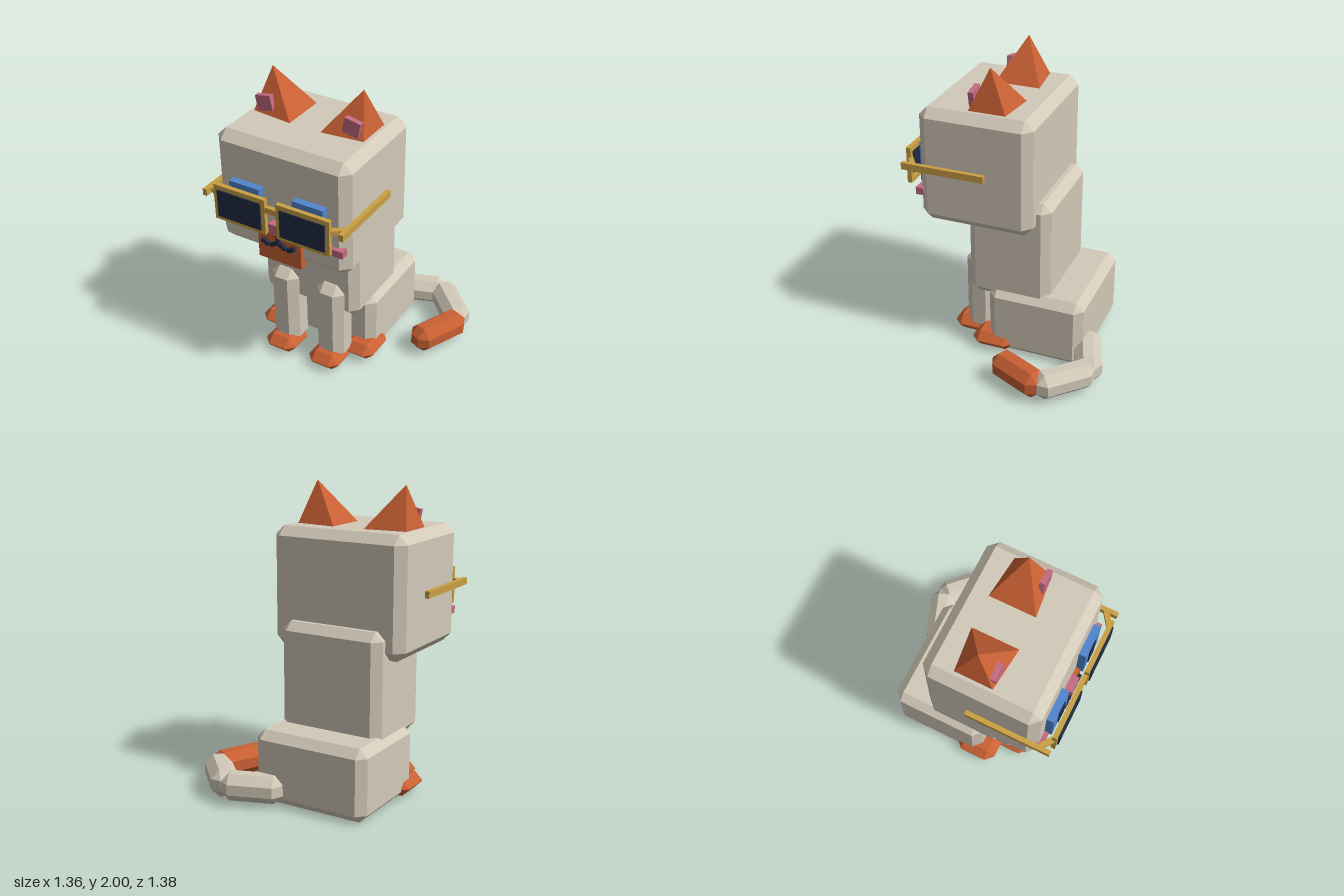
import * as THREE from 'three';
import { ConvexGeometry } from 'three/addons/geometries/ConvexGeometry.js';

const mat = (name, color) => new THREE.MeshStandardMaterial({ name, color, flatShading: true });
const CX = -0.185; // the body's own mirror plane

export function createModel() {
  const cream = mat('cream fur', 0xd2c9b8);
  const orange = mat('orange fur', 0xc96033);
  const pink = mat('pink skin', 0xc46c80);
  const blue = mat('blue eye', 0x5085cb);
  const navy = mat('dark navy', 0x202b45);
  const gold = mat('gold metal', 0xcaa043);

  const cat = new THREE.Group();
  cat.name = 'cat';

  const add = (name, geometry, material, x = 0, y = 0, z = 0) => {
    const mesh = new THREE.Mesh(geometry, material);
    mesh.name = name;
    mesh.position.set(x, y, z);
    cat.add(mesh);
    return mesh;
  };

  // plain box from its limits
  const box = (name, material, x0, x1, y0, y1, z0, z1) =>
    add(name, new THREE.BoxGeometry(x1 - x0, y1 - y0, z1 - z0), material,
      (x0 + x1) / 2, (y0 + y1) / 2, (z0 + z1) / 2);

  // box with every edge chamfered
  const chamferGeometry = (w, h, d, c) => {
    const points = [];
    for (const sx of [-1, 1]) for (const sy of [-1, 1]) for (const sz of [-1, 1]) {
      const x = w / 2, y = h / 2, z = d / 2;
      points.push(
        new THREE.Vector3(sx * x, sy * (y - c), sz * (z - c)),
        new THREE.Vector3(sx * (x - c), sy * y, sz * (z - c)),
        new THREE.Vector3(sx * (x - c), sy * (y - c), sz * z));
    }
    return new ConvexGeometry(points);
  };
  const chamferBox = (name, material, x0, x1, y0, y1, z0, z1, c = 0.055) =>
    add(name, chamferGeometry(x1 - x0, y1 - y0, z1 - z0, c), material,
      (x0 + x1) / 2, (y0 + y1) / 2, (z0 + z1) / 2);

  // head and body
  chamferBox('head', cream, -0.655, 0.285, 0.95, 1.73, -0.18, 0.58, 0.06);
  chamferBox('torso', cream, -0.545, 0.175, 0.4, 1.14, -0.265, 0.3);
  chamferBox('haunches', cream, -0.585, 0.215, 0.005, 0.48, -0.51, 0.15);

  // tail segments, each between two points on the ground plan
  const tail = [
    ['tailBase', cream, 0, -0.487, 0.38, -0.624],
    ['tailMiddle', cream, 0.34, -0.635, 0.63, -0.347],
    ['tailTip', orange, 0.621, -0.388, 0.45, -0.018],
  ];
  for (const [name, material, x0, z0, x1, z1] of tail) {
    const length = Math.hypot(x1 - x0, z1 - z0);
    const segment = add(name, chamferGeometry(0.18, 0.18, length, 0.055), material,
      (x0 + x1) / 2, 0.118, (z0 + z1) / 2);
    segment.rotation.y = Math.atan2(x1 - x0, z1 - z0);
  }

  // flat bar between two points in the face plane
  const faceBar = (name, material, x0, y0, x1, y1, width, z0, z1) => {
    const bar = add(name,
      new THREE.BoxGeometry(Math.hypot(x1 - x0, y1 - y0), width, z1 - z0), material,
      (x0 + x1) / 2, (y0 + y1) / 2, (z0 + z1) / 2);
    bar.rotation.z = Math.atan2(y1 - y0, x1 - x0);
  };

  for (const [side, s] of [['left', 1], ['right', -1]]) {
    // box mirrored about the middle of the body, given outward distances a to b
    const sideBox = (name, material, a, b, ...rest) => box(`${side}${name}`, material,
      CX + Math.min(s * a, s * b), CX + Math.max(s * a, s * b), ...rest);
    const sideChamfer = (name, material, a, b, ...rest) => chamferBox(`${side}${name}`, material,
      CX + Math.min(s * a, s * b), CX + Math.max(s * a, s * b), ...rest);

    // legs and paws
    sideChamfer('FrontLeg', cream, 0.073, 0.277, 0.04, 0.64, 0.16, 0.365);
    sideChamfer('FrontPaw', orange, 0.058, 0.287, 0.005, 0.12, 0.2, 0.455, 0.053);
    sideChamfer('RearPaw', orange, 0.21, 0.44, 0.018, 0.13, -0.03, 0.26, 0.053);

    // ear: four-sided spike leaning outward
    add(`${side}Ear`, new ConvexGeometry([
      [0.39, 1.725, 0.01], [0.39, 1.725, 0.26], [0.105, 1.725, -0.02],
      [0.105, 1.725, 0.29], [0.32, 2, 0.135],
    ].map(([x, y, z]) => new THREE.Vector3(CX + s * x, y, z))), orange);
    const innerEar = add(`${side}InnerEar`, new THREE.BoxGeometry(0.11, 0.1, 0.035), pink,
      CX + s * 0.308, 1.803, 0.248);
    innerEar.rotation.z = -s * 0.19;

    // eye, pupil and cheek
    sideBox('Eye', blue, 0.118, 0.333, 1.16, 1.437, 0.57, 0.628);
    sideBox('Pupil', navy, 0.175, 0.255, 1.2, 1.4, 0.626, 0.635);
    sideBox('Cheek', pink, 0.325, 0.452, 1.125, 1.173, 0.555, 0.608);

    // one half of the mouth
    faceBar(`${side}MouthInner`, navy, CX, 1.09, CX + s * 0.055, 1.058, 0.024, 0.6, 0.628);
    faceBar(`${side}MouthOuter`, navy, CX + s * 0.068, 1.055, CX + s * 0.118, 1.083, 0.026, 0.6, 0.628);

    // glasses: rim, lens, hinge and temple
    sideBox('RimTop', gold, 0.04, 0.41, 1.387, 1.42, 0.655, 0.685);
    sideBox('RimBottom', gold, 0.04, 0.41, 1.175, 1.204, 0.655, 0.685);
    sideBox('RimInner', gold, 0.04, 0.07, 1.204, 1.387, 0.655, 0.685);
    sideBox('RimOuter', gold, 0.38, 0.41, 1.204, 1.387, 0.655, 0.685);
    sideBox('Lens', navy, 0.068, 0.382, 1.202, 1.389, 0.682, 0.694);
    sideBox('Temple', gold, 0.47, 0.5, 1.31, 1.355, 0.12, 0.68);
    const hinge = add(`${side}Hinge`, new THREE.BoxGeometry(0.11, 0.03, 0.035), gold,
      CX + s * 0.433, 1.337, 0.638);
    hinge.rotation.y = s * 0.62;
  }

  // middle of the face and glasses
  box('muzzle', orange, -0.34, -0.03, 0.935, 1.185, 0.555, 0.605);
  box('nose', pink, -0.24, -0.13, 1.148, 1.22, 0.57, 0.632);
  box('mouthStem', navy, -0.196, -0.174, 1.075, 1.15, 0.6, 0.628);
  box('glassesBridge', gold, -0.235, -0.135, 1.332, 1.37, 0.652, 0.682);

  return cat;
}
